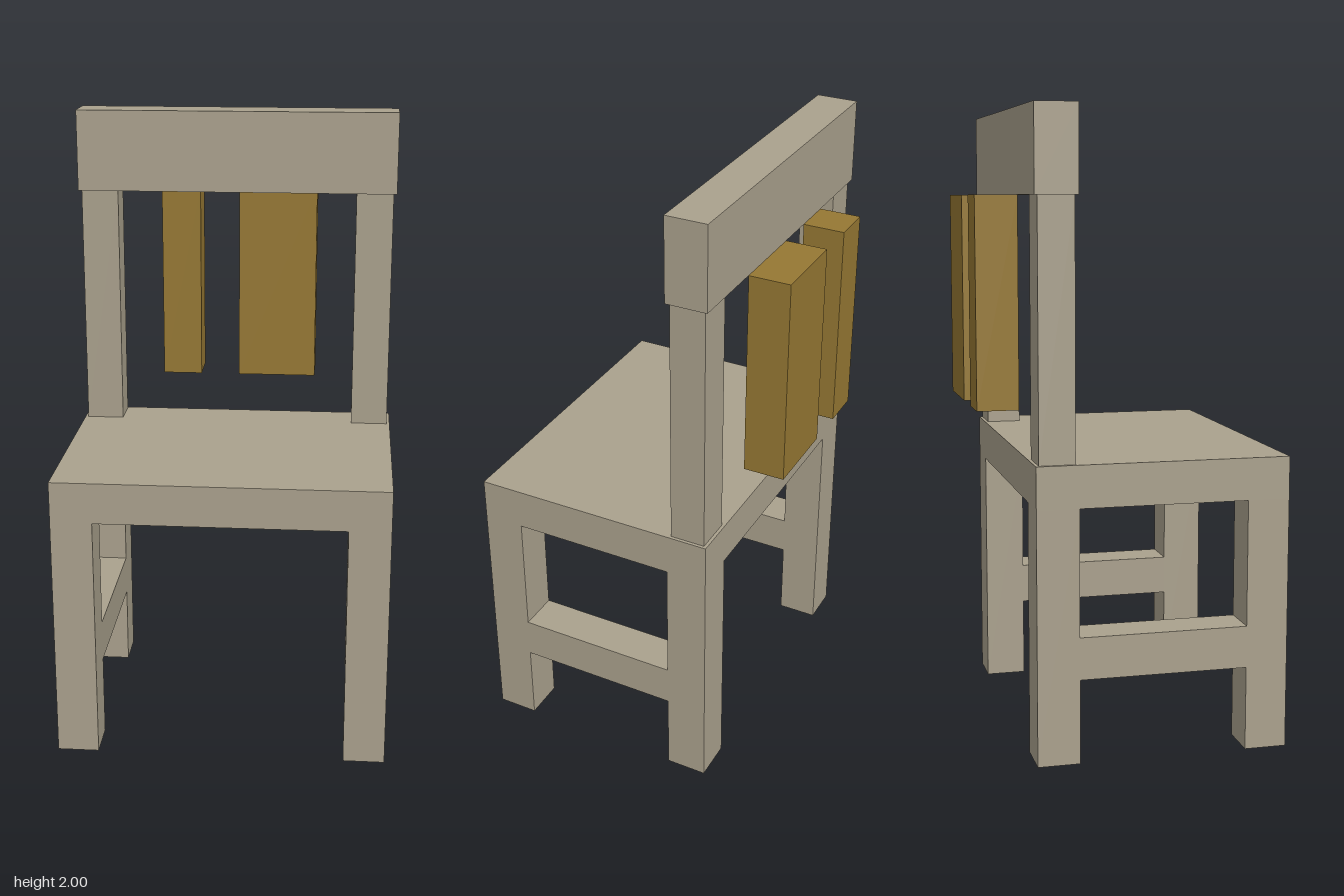
import * as THREE from 'three';

export function createModel() {
  const chair = new THREE.Group();
  chair.name = 'chair';
  const paleWood = new THREE.MeshStandardMaterial({ color: 0xaaa18d });
  paleWood.name = 'paleWood';
  const goldenWood = new THREE.MeshStandardMaterial({ color: 0x967833 });
  goldenWood.name = 'goldenWood';

  // Box given by its extents on each axis
  const box = (name, material, [x0, x1], [y0, y1], [z0, z1]) => {
    const mesh = new THREE.Mesh(new THREE.BoxGeometry(x1 - x0, y1 - y0, z1 - z0), material);
    mesh.position.set((x0 + x1) / 2, (y0 + y1) / 2, (z0 + z1) / 2);
    mesh.name = name;
    chair.add(mesh);
  };

  const u = 2 / 15; // thickness of the timber
  const half = 4 * u, back = -2.5 * u, front = 3.5 * u;
  const seatBottom = 6 * u, seatTop = 7 * u, railBottom = 13 * u;

  // Seat and top rail span the full width
  box('seat', paleWood, [-half, half], [seatBottom, seatTop], [back, front]);
  box('topRail', paleWood, [-half, half], [railBottom, 2], [back, back + u]);

  // Legs, side stretchers and back posts, mirrored left and right
  for (const [side, s] of [['left', 1], ['right', -1]]) {
    const span = (inner, outer) => (s > 0 ? [inner, outer] : [-outer, -inner]);
    const legX = span(half - u, half);
    box(side + 'FrontLeg', paleWood, legX, [0, seatBottom], [front - u, front]);
    box(side + 'BackLeg', paleWood, legX, [0, seatBottom], [back, back + u]);
    box(side + 'Stretcher', paleWood, legX, [2 * u, 3 * u], [back + u, front - u]);
    box(side + 'BackPost', paleWood, span(0.4, 0.523), [seatTop, railBottom], [-0.323, -0.21]);
  }

  // Two uneven slats behind the backrest
  const slatY = [8 * u, railBottom], slatZ = [back - u, back];
  box('narrowSlat', goldenWood, [-2 * u, -u], slatY, slatZ);
  box('wideSlat', goldenWood, [0, 2 * u], slatY, slatZ);

  return chair;
}
